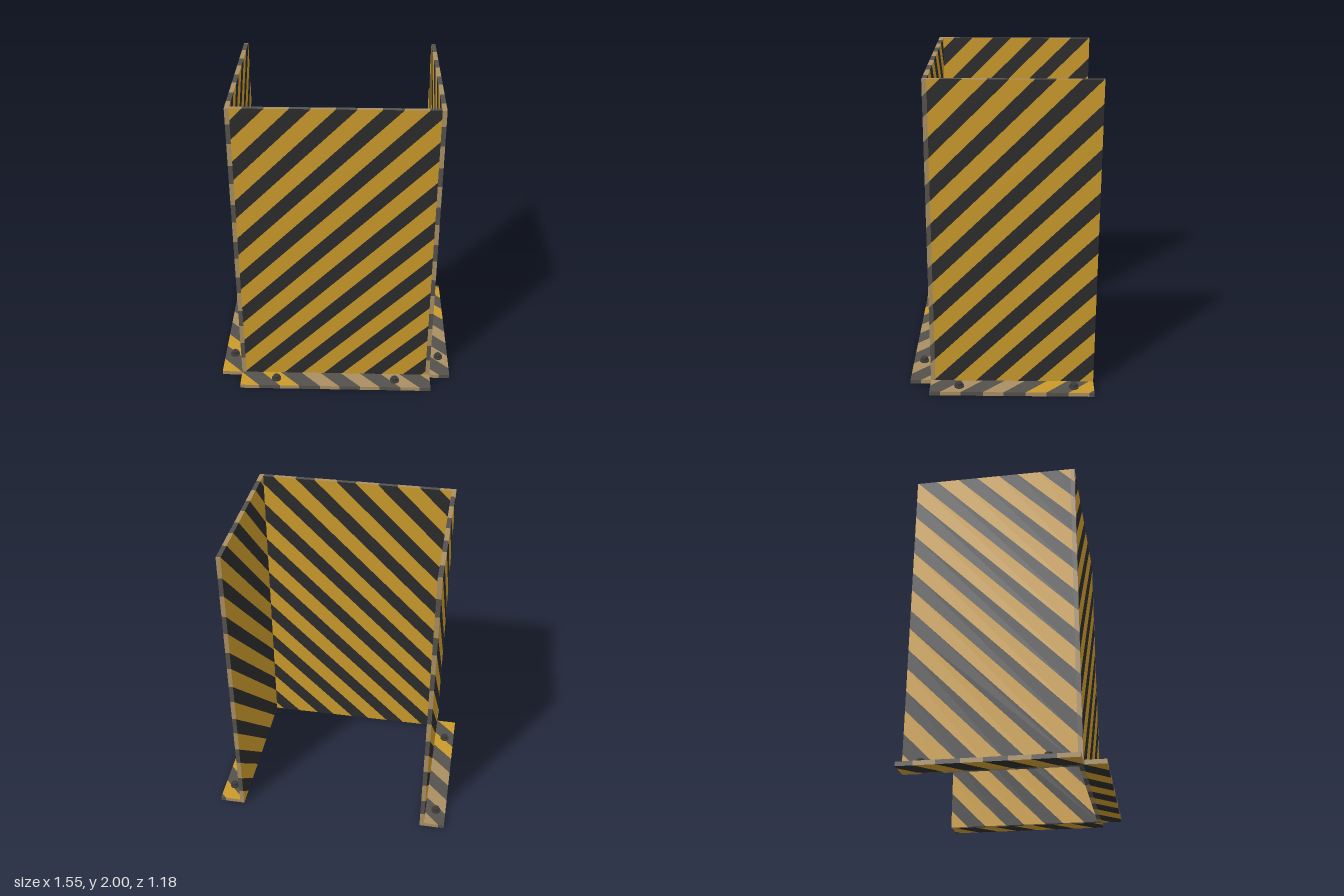
import * as THREE from 'three';

const makeMat = (name, color) => {
  const m = new THREE.MeshStandardMaterial({ color });
  m.name = name;
  return m;
};
const mats = [
  makeMat('hazard yellow', 0xc9992b),
  makeMat('hazard black', 0x2c2c2c),
  makeMat('worn tan', 0xa88e62),
  makeMat('worn grey', 0x55514c),
  makeMat('bolt steel', 0x3c3b3a),
];
const YELLOW = 0, BLACK = 1, TAN = 2, GREY = 3, STEEL = 4;
const PAINT = [YELLOW, BLACK], WORN = [TAN, GREY];
const PERIOD = 0.27;

// Keep the part of a convex polygon where sign * (dir . p - c) >= 0
function clip(poly, dir, c, sign) {
  const out = [];
  poly.forEach((p, i) => {
    const q = poly[(i + 1) % poly.length];
    const a = sign * (p.dot(dir) - c), b = sign * (q.dot(dir) - c);
    if (a >= 0) out.push(p);
    if (a * b < 0) out.push(p.clone().lerp(q, a / (a - b)));
  });
  return out;
}

// Box whose faces are cut into diagonal bands along dir;
// style(axis, sign) gives the [light, dark] pair for a face, or null to leave it out
function stripedBox(name, min, max, dir, phase, darkWidth, style, worn) {
  const d = new THREE.Vector3(...dir);
  const buckets = mats.map(() => []);
  for (let axis = 0; axis < 3; axis++) for (const sign of [1, -1]) {
    const pair = style(axis, sign);
    if (!pair) continue;
    const b = (axis + 1) % 3, c = (axis + 2) % 3;
    const face = [[0, 0], [1, 0], [1, 1], [0, 1]].map(([s, t]) => {
      const p = [];
      p[axis] = sign > 0 ? max[axis] : min[axis];
      p[b] = s ? max[b] : min[b];
      p[c] = t ? max[c] : min[c];
      return new THREE.Vector3(...p);
    });
    if (sign < 0) face.reverse();
    const vals = face.map(p => p.dot(d));
    const k0 = Math.floor((Math.min(...vals) - phase) / PERIOD) - 1;
    const k1 = Math.ceil((Math.max(...vals) - phase) / PERIOD) + 1;
    for (let k = k0; k <= k1; k++) {
      const mid = phase + k * PERIOD, half = darkWidth / 2;
      const bands = [[mid - half, mid + half, pair[1]], [mid + half, mid + PERIOD - half, pair[0]]];
      for (const [lo, hi, colour] of bands) {
        const poly = clip(clip(face, d, lo, 1), d, hi, -1);
        // fresh paint survives on the outer ends of the flanges
        const fresh = worn && colour === TAN && axis === 1 && Math.abs((lo + hi) / 2) > 0.8;
        const bucket = buckets[fresh ? YELLOW : colour];
        for (let i = 1; i < poly.length - 1; i++)
          for (const p of [poly[0], poly[i], poly[i + 1]]) bucket.push(p.x, p.y, p.z);
      }
    }
  }
  const geo = new THREE.BufferGeometry();
  let start = 0;
  buckets.forEach((v, i) => {
    if (v.length) geo.addGroup(start, v.length / 3, i);
    start += v.length / 3;
  });
  geo.setAttribute('position', new THREE.Float32BufferAttribute(buckets.flat(), 3));
  geo.computeVertexNormals();
  const mesh = new THREE.Mesh(geo, mats);
  mesh.name = name;
  return mesh;
}

// Washer with a hexagonal head
function bolt(x, z) {
  const g = new THREE.Group();
  g.name = 'bolt';
  const washer = new THREE.Mesh(new THREE.CylinderGeometry(0.031, 0.031, 0.009, 20), mats[STEEL]);
  washer.name = 'washer';
  washer.position.y = 0.0315;
  const head = new THREE.Mesh(new THREE.CylinderGeometry(0.022, 0.022, 0.02, 6).toNonIndexed(), mats[STEEL]);
  head.name = 'boltHead';
  head.position.y = 0.045;
  g.add(washer, head);
  g.position.set(x, 0, z);
  return g;
}

export function createModel() {
  const model = new THREE.Group();
  model.name = 'columnGuard';
  const H = 2, T = 0.027, W = 0.64, F = 0.455, B = -0.588, X = 0.776, Z = 0.588;
  const inX = 0.612, inZ = 0.427;

  // Front wall: painted on both faces, worn on its edges
  model.add(stripedBox('frontWall', [-inX, 0, inZ], [inX, H, F], [-1, 1, 0], 0.855, 0.125,
    axis => axis === 2 ? PAINT : axis === 1 ? WORN : null));

  // Flange tops and edges are worn, undersides keep their paint
  const flangeStyle = (axis, sign) => axis === 1 && sign < 0 ? PAINT : WORN;
  const flange = (name, min, max) =>
    model.add(stripedBox(name, min, max, [1, 0, -1], -0.49, 0.14, flangeStyle, true));
  flange('frontFlange', [-W, 0, F], [W, T, Z]);

  for (const s of [1, -1]) {
    const side = s > 0 ? 'left' : 'right';
    const span = (a, b) => s > 0 ? [a, b] : [-b, -a];

    // Side wall
    const [x0, x1] = span(inX, W);
    model.add(stripedBox(side + 'Wall', [x0, 0, B], [x1, H, inZ], [0, 1, 1], 1.48, 0.125,
      (axis, sign) => axis === 0 ? PAINT : axis === 2 && sign > 0 ? null : WORN));

    // Worn corner where the walls meet
    model.add(stripedBox(side + 'Corner', [x0, 0, inZ], [x1, H, F], [0, 1, 1], 1.48, 0.125,
      (axis, sign) => (axis === 0 && sign !== s) || (axis === 2 && sign < 0) ? null : WORN));

    // Side flange
    const [f0, f1] = span(W, X);
    flange(side + 'Flange', [f0, 0, B], [f1, T, F]);

    // Anchor bolts
    model.add(bolt(s * 0.4, 0.52), bolt(s * 0.71, 0.27), bolt(s * 0.71, -0.46));
  }
  return model;
}
